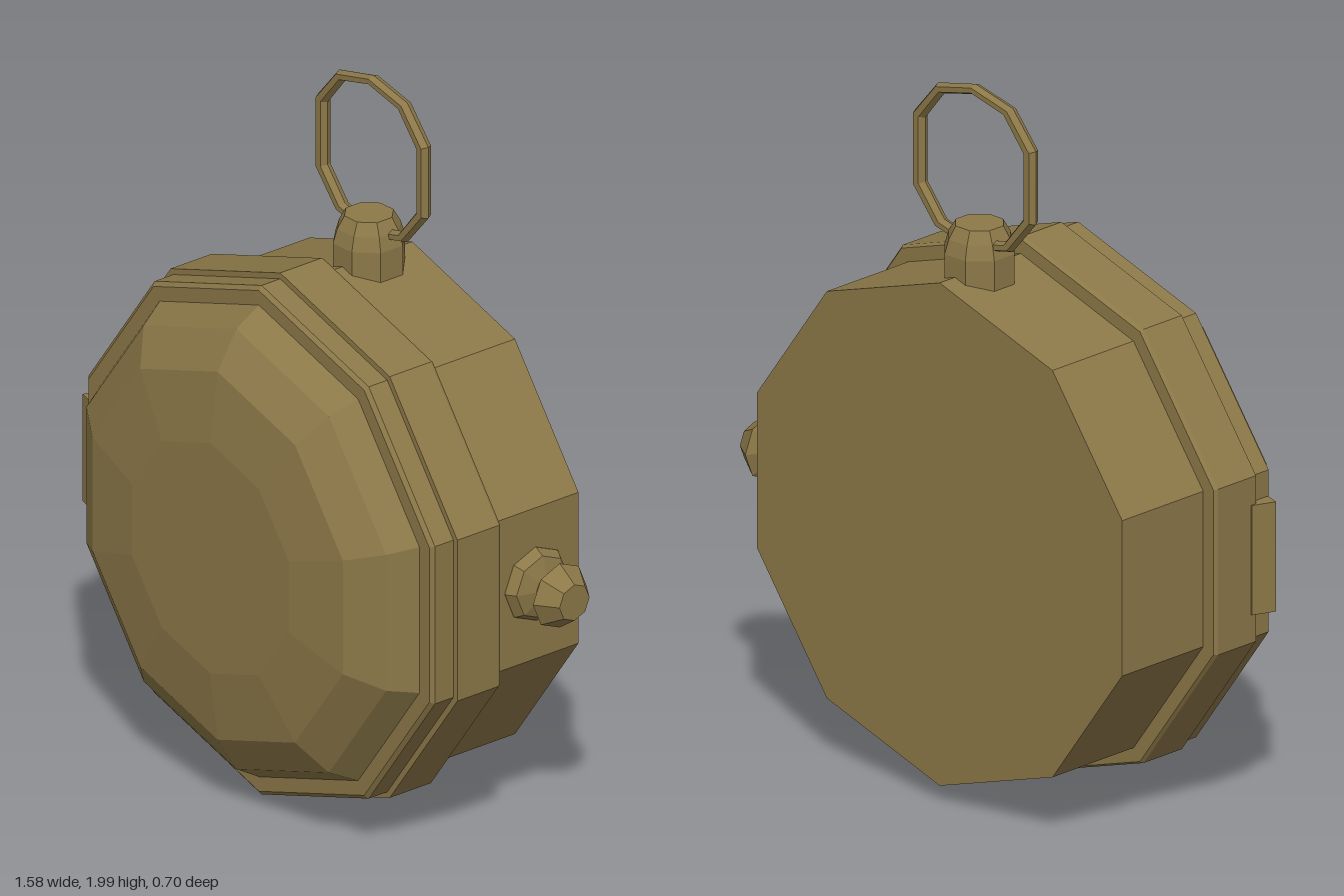
import * as THREE from 'three';

const CX = -0.045, CY = 0.765;
const brass = new THREE.MeshStandardMaterial({ color: 0x8c7848, flatShading: true });

// Low-poly turned part from [radius, height] pairs, bottom to top
function turned(profile, sides, start = 0) {
  return new THREE.LatheGeometry(profile.map(([r, h]) => new THREE.Vector2(r, h)), sides, start);
}

export function createModel() {
  const model = new THREE.Group();
  const add = (name, geometry, x = 0, y = 0, z = 0) => {
    const mesh = new THREE.Mesh(geometry, brass);
    mesh.name = name;
    mesh.position.set(x, y, z);
    model.add(mesh);
  };

  // Ten-sided case, turned about the z axis
  const caseParts = {
    caseBody: [[0, -0.35], [0.71, -0.35], [0.71, -0.035], [0, -0.035]],
    caseRim: [[0, -0.045], [0.75, -0.045], [0.757, -0.035], [0.757, 0.108], [0, 0.108]],
    lidRim: [[0, 0.1], [0.74, 0.1], [0.74, 0.172], [0.728, 0.182], [0, 0.182]],
    lidDome: [[0, 0.175], [0.69, 0.175], [0.64, 0.26], [0.535, 0.325], [0.335, 0.35], [0, 0.35]],
  };
  for (const [name, profile] of Object.entries(caseParts)) {
    add(name, turned(profile, 10).rotateX(Math.PI / 2), CX, CY);
  }

  // Stem on top that holds the ring
  add('stem', turned([[0, 1.38], [0.1, 1.38], [0.1, 1.53], [0.088, 1.57], [0.068, 1.605], [0, 1.605]], 8, Math.PI / 8),
    CX, 0, -0.2);

  // Hanging ring: ten-sided loop, squared off a little vertically
  const H = 0.235;
  const ring = new THREE.TorusGeometry(H - 0.02, 0.02, 6, 10).rotateZ(Math.PI / 10);
  const p = ring.attributes.position;
  for (let i = 0; i < p.count; i++) {
    const y = p.getY(i);
    p.setY(i, Math.sign(y) * H * Math.pow(Math.abs(y) / H, 0.7));
  }
  ring.computeVertexNormals();
  add('ring', ring, CX, 2 - H, -0.215);

  // Winding knob on the model's left side
  const knob = turned([[0, 0.6], [0.106, 0.6], [0.106, 0.635], [0.09, 0.66], [0.036, 0.677],
    [0.036, 0.7], [0.093, 0.73], [0.052, 0.79], [0, 0.79]], 8);
  add('windingKnob', knob.rotateZ(-Math.PI / 2), 0, CY, -0.2);

  // Wedge-shaped thumb catch on the lid's opposite side
  const wedge = new THREE.Shape([[-0.72, -0.09], [-0.72, -0.168], [-0.752, -0.168], [-0.793, -0.155], [-0.768, -0.09]]
    .map(([x, y]) => new THREE.Vector2(x, y)));
  add('lidCatch', new THREE.ExtrudeGeometry(wedge, { depth: 0.31, bevelEnabled: false }).rotateX(-Math.PI / 2), 0, 0.61);

  return model;
}
